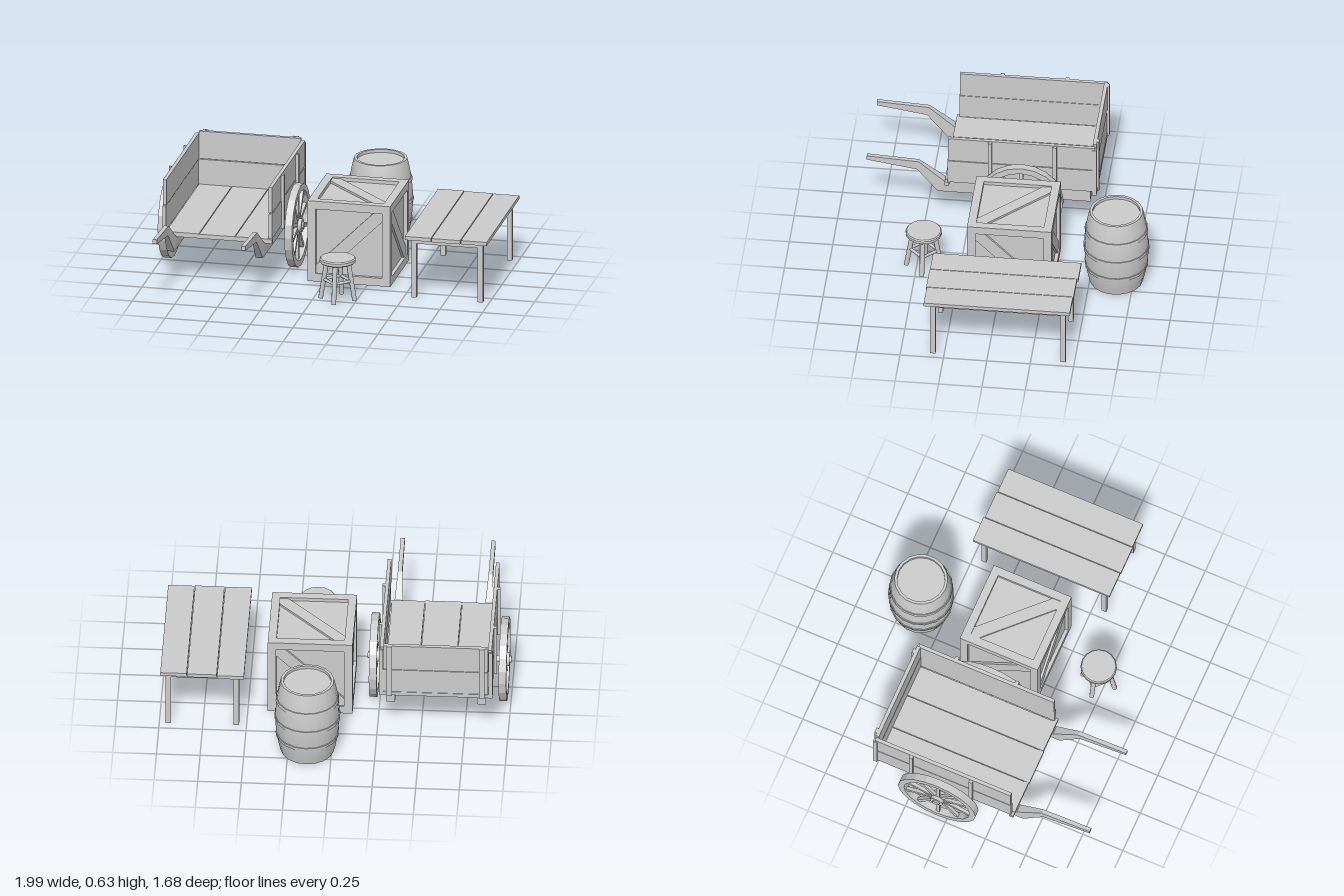
import * as THREE from 'three';

const mat = new THREE.MeshStandardMaterial({ color: 0xcccccc });
const flat = new THREE.MeshStandardMaterial({ color: 0xcccccc, flatShading: true });

function add(parent, name, geo, material = flat) {
  const mesh = new THREE.Mesh(geo, material);
  mesh.name = name;
  parent.add(mesh);
  return mesh;
}

// Box given by its min and max on each axis
function box(parent, name, x0, x1, y0, y1, z0, z1) {
  const m = add(parent, name, new THREE.BoxGeometry(x1 - x0, y1 - y0, z1 - z0));
  m.position.set((x0 + x1) / 2, (y0 + y1) / 2, (z0 + z1) / 2);
  return m;
}

// Round bar between two points
function rod(parent, name, a, b, r0, r1 = r0, sides = 8) {
  const d = b.clone().sub(a);
  const m = add(parent, name, new THREE.CylinderGeometry(r1, r0, d.length(), sides), mat);
  m.position.copy(a).addScaledVector(d, 0.5);
  m.quaternion.setFromUnitVectors(new THREE.Vector3(0, 1, 0), d.normalize());
  return m;
}

const V = (x, y, z) => new THREE.Vector3(x, y, z);

function group(name, x, y, z) {
  const g = new THREE.Group();
  g.name = name;
  g.position.set(x, y, z);
  return g;
}

// Wheel with its axle along x
function makeWheel() {
  const wheel = group('wheel', 0, 0, 0);
  const ring = [[0.205, -0.022], [0.242, -0.022], [0.242, 0.022], [0.205, 0.022], [0.205, -0.022]];
  const rim = add(wheel, 'rim', new THREE.LatheGeometry(ring.map(p => new THREE.Vector2(...p)), 20), flat);
  rim.rotation.z = Math.PI / 2;
  rod(wheel, 'hub', V(-0.03, 0, 0), V(0.03, 0, 0), 0.04, 0.04, 12);
  for (let i = 0; i < 10; i++) {
    const pivot = group('spokePivot', 0, 0, 0);
    pivot.rotation.x = (i * Math.PI) / 5;
    box(pivot, 'spoke', -0.01, 0.01, 0.03, 0.21, -0.011, 0.011);
    wheel.add(pivot);
  }
  return wheel;
}

// Long under-beam that bends up into a tapering handle
function handleGeometry() {
  const pts = [[-0.45, 0.205], [0.43, 0.205], [0.55, 0.342], [0.84, 0.388],
    [0.84, 0.414], [0.54, 0.397], [0.39, 0.28], [-0.45, 0.28]];
  const shape = new THREE.Shape(pts.map(p => new THREE.Vector2(...p)));
  const geo = new THREE.ExtrudeGeometry(shape, { depth: 0.05, bevelEnabled: false });
  geo.translate(0, 0, -0.025).rotateY(-Math.PI / 2);
  const pos = geo.attributes.position;
  for (let i = 0; i < pos.count; i++) {
    const t = THREE.MathUtils.clamp((pos.getZ(i) - 0.39) / 0.16, 0, 1);
    pos.setX(i, pos.getX(i) * (1 - 0.52 * t));
  }
  geo.computeVertexNormals();
  return geo;
}

function makeCart() {
  const cart = group('cart', -0.587, 0, 0);
  // Floor planks
  const cuts = [-0.3, -0.104, 0.107, 0.3];
  for (let i = 0; i < 3; i++)
    box(cart, 'floorPlank', cuts[i] + 0.002, cuts[i + 1] - 0.002, 0.287, 0.307, -0.475, 0.385 + 0.004 * (i % 2));
  // Cross beams under the floor
  for (const z of [0.36, -0.49]) box(cart, 'crossBeam', -0.325, 0.325, 0.28, 0.304, z, z + 0.025);
  // Back wall
  box(cart, 'backPlank', -0.3, 0.303, 0.29, 0.458, -0.487, -0.465);
  box(cart, 'backPlank', -0.297, 0.3, 0.462, 0.628, -0.488, -0.466);
  for (const s of [-1, 1]) {
    // Side walls and their posts
    const xs = (a, b) => (s > 0 ? [a, b] : [-b, -a]);
    box(cart, 'sidePlank', ...xs(0.302, 0.322), 0.305, 0.455, -0.48, 0.37);
    box(cart, 'sidePlank', ...xs(0.3, 0.321), 0.459, 0.613, -0.48, 0.366);
    for (const z of [0.123, -0.25]) box(cart, 'sidePost', ...xs(0.321, 0.338), 0.285, 0.61, z - 0.011, z + 0.011);
    box(cart, 'backPost', ...xs(0.25, 0.28), 0.28, 0.63, -0.5, -0.486);
    box(cart, 'cornerPost', ...xs(0.302, 0.326), 0.285, 0.6, -0.49, -0.465);
    // Handle and wheel
    add(cart, 'handle', handleGeometry()).position.x = s * 0.26;
    const wheel = makeWheel();
    wheel.position.set(s * 0.372, 0.247, -0.062);
    cart.add(wheel);
  }
  rod(cart, 'axle', V(-0.412, 0.247, -0.062), V(0.412, 0.247, -0.062), 0.021, 0.021, 10);
  return cart;
}

function makeCrate() {
  const H = 0.243, F = 0.048, I = H - F, d = 0.05;
  const crate = group('crate', 0.143, H, -0.06);
  box(crate, 'panels', -0.222, 0.222, -0.222, 0.222, -0.222, 0.222);
  // Twelve edge bars
  for (const a of [-1, 1]) for (const b of [-1, 1]) {
    const p = a * (H - F / 2), q = b * (H - F / 2), h = F / 2;
    box(crate, 'edgeBar', p - h, p + h, -H, H, q - h, q + h);
    box(crate, 'edgeBar', -I, I, p - h, p + h, q - h, q + h);
    box(crate, 'edgeBar', p - h, p + h, q - h, q + h, -I, I);
  }
  // Diagonal braces; each one shows on two opposite faces
  const pts = [[-I, -I], [d - I, -I], [I, I - d], [I, I], [I - d, I], [-I, d - I]];
  const geo = new THREE.ExtrudeGeometry(new THREE.Shape(pts.map(p => new THREE.Vector2(...p))),
    { depth: 0.47, bevelEnabled: false });
  geo.translate(0, 0, -0.235);
  for (const r of [[0, 0], [0, -Math.PI / 2], [Math.PI / 2, 0]])
    add(crate, 'diagonalBrace', geo).rotation.set(r[0], r[1], 0);
  return crate;
}

function makeBarrel() {
  const barrel = group('barrel', 0.14, 0, -0.65);
  const R = y => 0.153 + 0.032 * (1 - ((y - 0.243) / 0.243) ** 2);
  const lathe = (name, pts) => add(barrel, name,
    new THREE.LatheGeometry(pts.map(p => new THREE.Vector2(...p)), 18), mat);
  // Bulging staves
  const side = [];
  for (let i = 0; i <= 10; i++) side.push([R(i * 0.0486), i * 0.0486]);
  lathe('staves', side);
  // Rims and recessed lids, in separate pieces to keep the edges sharp
  lathe('topRim', [[0.153, 0.486], [0.137, 0.486]]);
  lathe('topRimInside', [[0.137, 0.486], [0.137, 0.468]]);
  lathe('lid', [[0.137, 0.468], [0, 0.468]]);
  lathe('bottomRim', [[0.137, 0], [0.153, 0]]);
  lathe('bottomRimInside', [[0.137, 0.015], [0.137, 0]]);
  lathe('base', [[0, 0.015], [0.137, 0.015]]);
  // Hoops
  for (const y of [0.122, 0.243, 0.366]) {
    const a = y - 0.01, b = y + 0.01;
    const hoop = lathe('hoop', [[R(a) - 0.005, a], [R(a) + 0.005, a], [R(b) + 0.005, b], [R(b) - 0.005, b]]);
    hoop.material = flat;
  }
  return barrel;
}

function makeStool() {
  const stool = group('stool', 0.14, 0, 0.46);
  const seat = [[0, 0.226], [0.098, 0.226], [0.104, 0.232], [0.104, 0.248], [0.098, 0.255], [0, 0.255]];
  add(stool, 'seat', new THREE.LatheGeometry(seat.map(p => new THREE.Vector2(...p)), 16), flat);
  const at = (i, r, y) => V(r * Math.cos(i * Math.PI / 2), y, r * Math.sin(i * Math.PI / 2));
  for (let i = 0; i < 4; i++) {
    rod(stool, 'leg', at(i, 0.1, 0.002), at(i, 0.062, 0.235), 0.014);
    rod(stool, 'rung', at(i, 0.081, 0.118), at(i + 1, 0.081, 0.118), 0.009);
  }
  return stool;
}

function makeTable() {
  const table = group('table', 0.753, 0, -0.06);
  // Top planks
  const cuts = [-0.242, -0.085, 0.087, 0.242], back = [-0.43, -0.422, -0.418];
  for (let i = 0; i < 3; i++)
    box(table, 'topPlank', cuts[i] + 0.002, cuts[i + 1] - 0.002, 0.356, 0.378, back[i], 0.424 + 0.003 * (i % 2));
  // Legs and aprons
  for (const s of [-1, 1]) {
    for (const t of [-1, 1])
      box(table, 'leg', s * 0.195 - 0.015, s * 0.195 + 0.015, 0, 0.356, t * 0.375 - 0.015, t * 0.375 + 0.015);
    box(table, 'sideApron', s * 0.195 - 0.012, s * 0.195 + 0.012, 0.326, 0.356, -0.36, 0.36);
    box(table, 'endApron', -0.18, 0.18, 0.326, 0.356, s * 0.375 - 0.012, s * 0.375 + 0.012);
  }
  return table;
}

export function createModel() {
  const model = group('marketYardSet', 0, 0, 0);
  model.add(makeCart(), makeCrate(), makeBarrel(), makeStool(), makeTable());
  return model;
}
